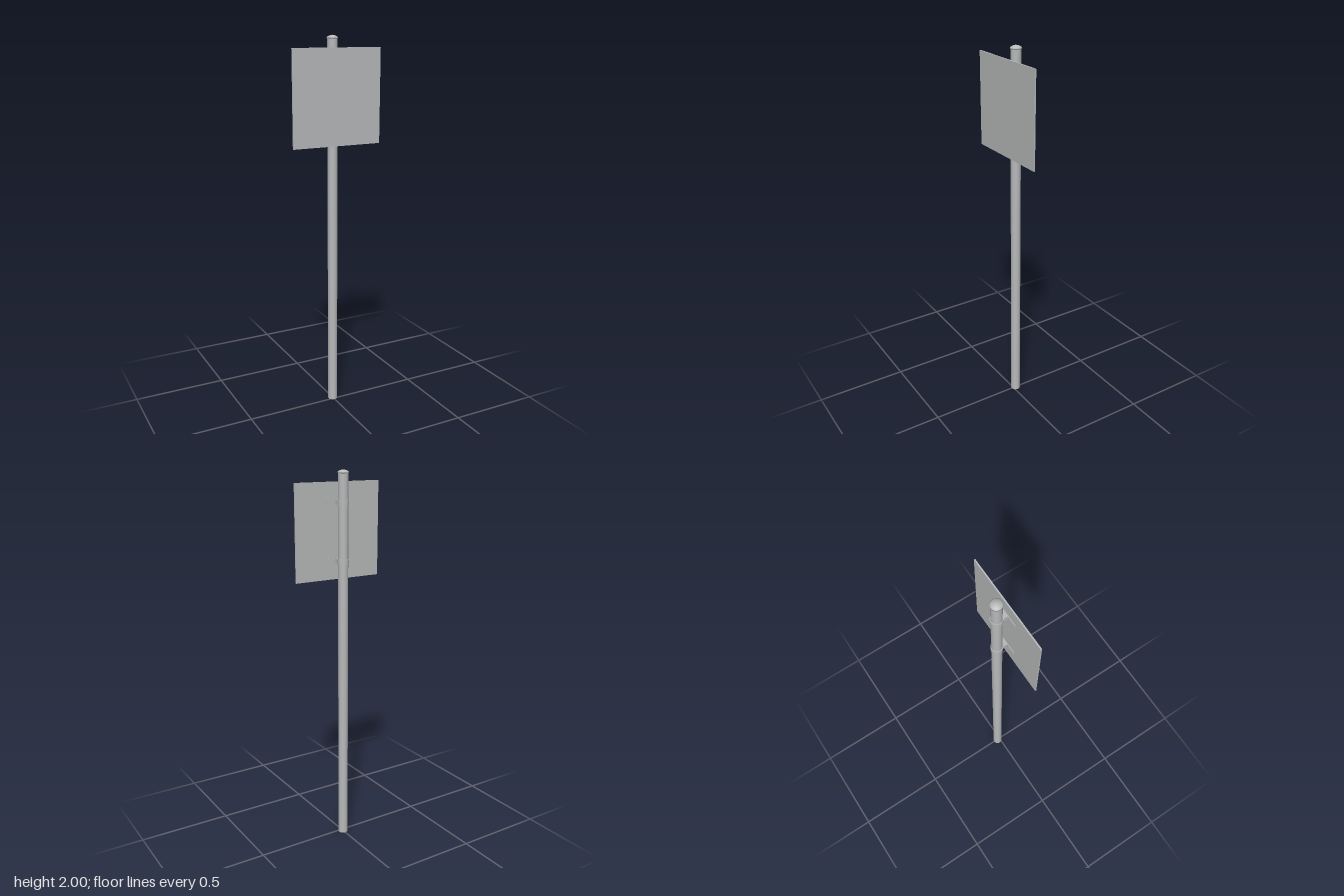
import * as THREE from 'three';

const POST_Z = -0.0145;

export function createModel() {
  const group = new THREE.Group();
  const steel = new THREE.MeshStandardMaterial({ color: 0xb8b9ba });
  steel.name = 'galvanised grey';

  const add = (name, geometry, x, y, z, parent = group) => {
    const mesh = new THREE.Mesh(geometry, steel);
    mesh.name = name;
    mesh.position.set(x, y, z);
    parent.add(mesh);
    return mesh;
  };

  // Round post
  add('post', new THREE.CylinderGeometry(0.026, 0.026, 1.985, 32), 0, 0.9925, POST_Z);

  // Low domed cap with a short rim
  const capProfile = [[0, 0], [0.0285, 0], [0.0285, 0.006], [0.024, 0.010], [0.016, 0.014], [0.008, 0.0165], [0, 0.0175]]
    .map(([r, y]) => new THREE.Vector2(r, y));
  add('postCap', new THREE.LatheGeometry(capProfile, 32), 0, 1.9825, POST_Z);

  // Square sign plate
  add('signPlate', new THREE.BoxGeometry(0.494, 0.49, 0.007), 0, 1.695, 0.0385);

  // Clamp band outline: a ring around the post
  const band = new THREE.Shape().absarc(0, 0, 0.0293, 0, Math.PI * 2, false);
  band.holes.push(new THREE.Path().absarc(0, 0, 0.0255, 0, Math.PI * 2, true));
  const bandGeometry = new THREE.ExtrudeGeometry(band, { depth: 0.025, bevelEnabled: false, curveSegments: 16 });
  bandGeometry.translate(0, 0, -0.0125).rotateX(Math.PI / 2);

  // Two brackets: band, spacer arm and flat mounting strip
  for (const [name, y] of [['upperBracket', 1.841], ['lowerBracket', 1.547]]) {
    const bracket = new THREE.Group();
    bracket.name = name;
    bracket.position.y = y;
    add('clampBand', bandGeometry, 0, 0, POST_Z, bracket);
    add('spacerArm', new THREE.BoxGeometry(0.034, 0.025, 0.03), 0, 0, 0.018, bracket);
    add('mountingStrip', new THREE.BoxGeometry(0.14, 0.025, 0.004), 0, 0, 0.0335, bracket);
    group.add(bracket);
  }
  return group;
}
